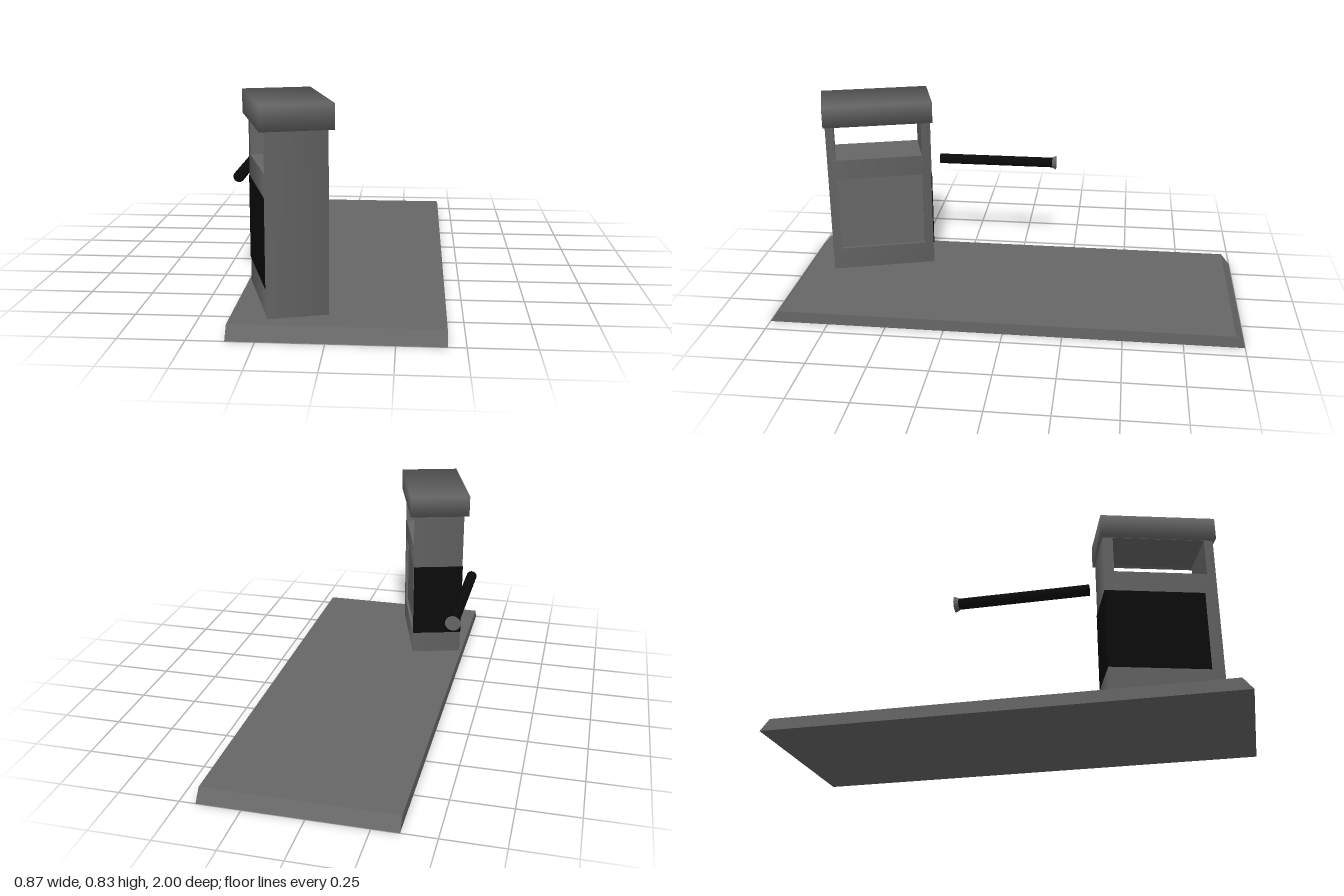
import * as THREE from 'three';

const grey = new THREE.MeshStandardMaterial({ name: 'grey', color: 0x666666 });
const black = new THREE.MeshStandardMaterial({ name: 'black', color: 0x0a0a0a });

// Half width, half depth of the pump body
const HW = 0.114, HD = 0.232;

function part(name, geometry, material, x = 0, y = 0, z = 0) {
  const mesh = new THREE.Mesh(geometry, material);
  mesh.name = name;
  mesh.position.set(x, y, z);
  return mesh;
}

function rectangle(Type, z0, z1, y0, y1) {
  const r = new Type();
  r.moveTo(z0, y0).lineTo(z1, y0).lineTo(z1, y1).lineTo(z0, y1).closePath();
  return r;
}

// Side profile (z, y) extruded across x, from x0 to x1
function extrudeAcross(shape, x0, x1) {
  const g = new THREE.ExtrudeGeometry(shape, { depth: x1 - x0, bevelEnabled: false });
  g.rotateY(-Math.PI / 2);
  g.translate(x1, 0, 0);
  return g;
}

// Smooth normals round the outer corners, leaving inner walls flat
function soften(g, hw, hh, hd) {
  const p = g.attributes.position, n = g.attributes.normal, v = new THREE.Vector3();
  for (let i = 0; i < p.count; i++) {
    const outer = (Math.abs(p.getX(i)) > hw - 0.001 && Math.abs(n.getX(i)) > 0.9) ||
      (Math.abs(p.getZ(i)) > hd - 0.001 && Math.abs(n.getZ(i)) > 0.9) ||
      (Number.isFinite(hh) && Math.abs(n.getY(i)) > 0.9);
    if (!outer) continue;
    v.set(p.getX(i) / hw, p.getY(i) / hh, p.getZ(i) / hd).normalize();
    n.setXYZ(i, v.x, v.y, v.z);
  }
  return g;
}

function createPump() {
  const pump = new THREE.Group();
  pump.name = 'pump';

  // Body with a through opening; the outer skin also has a recessed panel
  const skin = 0.012;
  const profile = (recessed) => {
    const s = rectangle(THREE.Shape, -HD, HD, 0.05, 0.74);
    s.holes.push(rectangle(THREE.Path, -0.19, 0.195, 0.58, 0.739));
    if (recessed) s.holes.push(rectangle(THREE.Path, -0.19, 0.195, 0.15, 0.49));
    return s;
  };
  pump.add(part('body', soften(extrudeAcross(profile(false), -HW, HW - skin), HW, Infinity, HD), grey));
  pump.add(part('recessedSide', soften(extrudeAcross(profile(true), HW - skin, HW), HW, Infinity, HD), grey));

  // Cap
  const cap = new THREE.BoxGeometry(0.272, 0.095, 0.482);
  pump.add(part('cap', soften(cap, 0.136, 0.0475, 0.241), grey, 0, 0.7875, 0));

  // Black band on the side and the back
  pump.add(part('sidePanel', new THREE.BoxGeometry(0.004, 0.34, HD + 0.18), black, -HW, 0.32, (0.18 - HD) / 2));
  pump.add(part('backPanel', new THREE.BoxGeometry(2 * HW + 0.002, 0.34, 0.004), black, 0, 0.32, -HD));

  pump.position.set(-0.173, 0, 0.646);
  pump.rotation.y = 0.288;
  return pump;
}

function createNozzle() {
  const nozzle = new THREE.Group();
  nozzle.name = 'nozzle';
  // Tube along z with a flared tip at the back
  const tube = new THREE.CylinderGeometry(0.023, 0.023, 0.545, 20).rotateX(-Math.PI / 2);
  const tip = new THREE.CylinderGeometry(0.033, 0.024, 0.018, 20).rotateX(-Math.PI / 2);
  nozzle.add(part('tube', tube, black, 0, 0, 0.1275));
  nozzle.add(part('flaredTip', tip, grey, 0, 0, -0.149));
  nozzle.position.set(-0.401, 0.469, 0);
  return nozzle;
}

export function createModel() {
  const model = new THREE.Group();
  model.name = 'fuelPump';

  // Base slab with sloped ends
  const slab = new THREE.Shape();
  slab.moveTo(-1, 0).lineTo(1, 0).lineTo(0.96, 0.05).lineTo(-0.96, 0.05).closePath();
  model.add(part('base', extrudeAcross(slab, -0.359, 0.433), grey));

  model.add(createPump(), createNozzle());
  return model;
}
